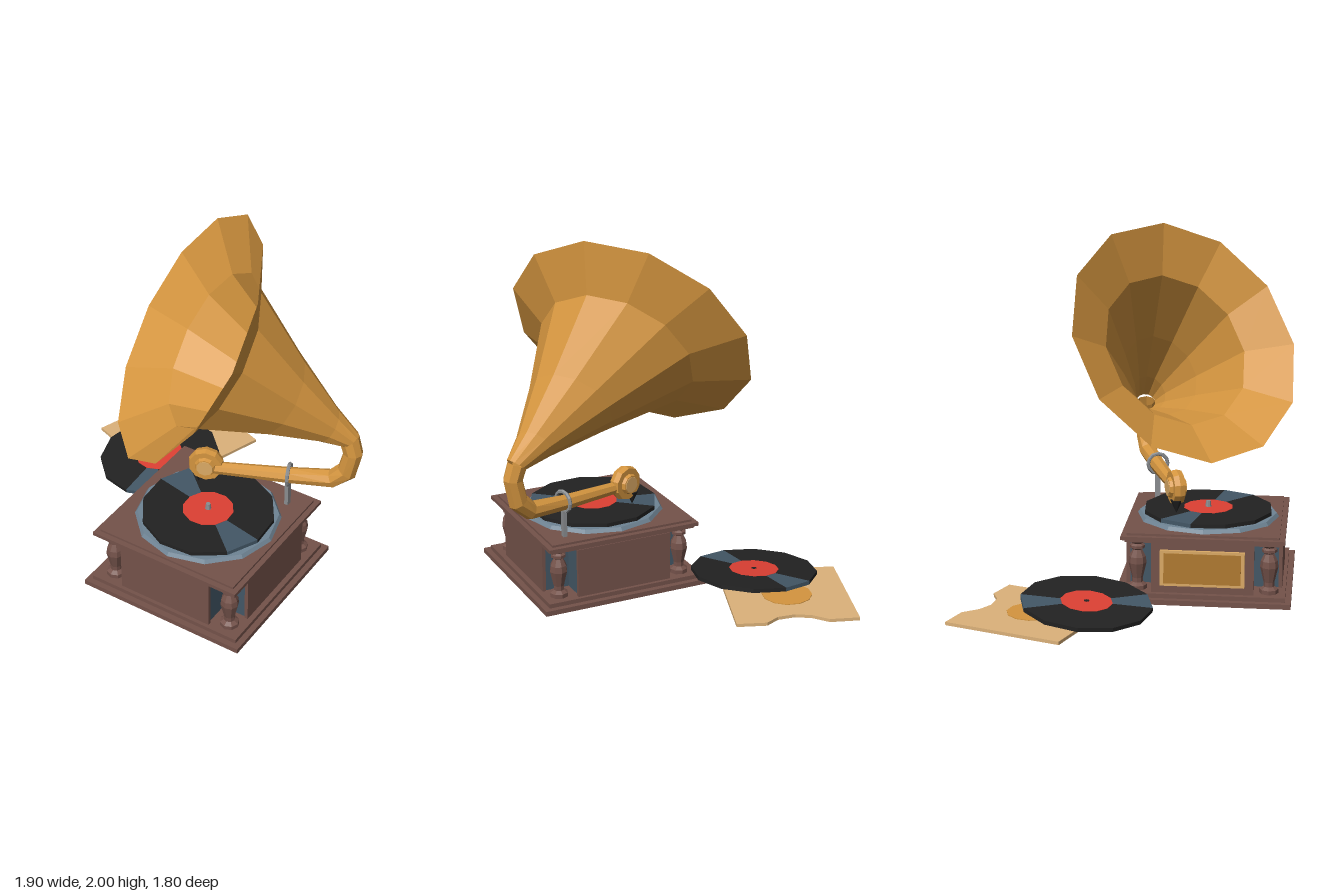
import * as THREE from 'three';

const mat = (color, side = THREE.FrontSide) =>
  new THREE.MeshStandardMaterial({ color, side, flatShading: true });
const brass = mat(0xd4953f), brassThin = mat(0xd4953f, THREE.DoubleSide), paleBrass = mat(0xdcab66);
const wood = mat(0x74524a), slate = mat(0x435766), black = mat(0x222222), red = mat(0xdd4033);
const steel = mat(0x8a8d90), platterMat = mat(0x6f8494), card = mat(0xdcb27a), amber = mat(0xb07a30);
const V = (x, y, z) => new THREE.Vector3(x, y, z);

function add(parent, name, geo, material, x = 0, y = 0, z = 0) {
  const m = new THREE.Mesh(geo, material);
  m.name = name;
  m.position.set(x, y, z);
  parent.add(m);
  return m;
}

// Skin a row of rings; each ring is { c: centre, n: normal, r: radius }
function loft(rings, sides, ref) {
  const pos = [], idx = [];
  rings.forEach(({ c, n, r }, i) => {
    const w = n.clone().normalize();
    const u = ref.clone().addScaledVector(w, -ref.dot(w)).normalize();
    const v = w.clone().cross(u);
    for (let k = 0; k < sides; k++) {
      const a = (k / sides) * Math.PI * 2;
      const p = c.clone().addScaledVector(u, r * Math.cos(a)).addScaledVector(v, r * Math.sin(a));
      pos.push(p.x, p.y, p.z);
      if (i) {
        const l = (k + 1) % sides, A = (i - 1) * sides, B = i * sides;
        idx.push(A + k, A + l, B + l, A + k, B + l, B + k);
      }
    }
  });
  const g = new THREE.BufferGeometry();
  g.setAttribute('position', new THREE.Float32BufferAttribute(pos, 3));
  g.setIndex(idx);
  g.computeVertexNormals();
  return g;
}

// Twelve-sided disc with two opposite shiny sectors, a label and a hole
function makeRecord(name, r) {
  const g = new THREE.Group();
  g.name = name;
  const step = Math.PI / 6;
  for (const s of [0, 6]) {
    add(g, 'recordSheen', new THREE.CylinderGeometry(r, r, 0.022, 1, 1, false, s * step, step), slate);
    add(g, 'recordDisc', new THREE.CylinderGeometry(r, r, 0.022, 5, 1, false, (s + 1) * step, 5 * step), black);
  }
  add(g, 'recordLabel', new THREE.CylinderGeometry(0.14, 0.14, 0.026, 12), red);
  add(g, 'recordHole', new THREE.CylinderGeometry(0.015, 0.015, 0.03, 8), black);
  return g;
}

function makeCabinet() {
  const g = new THREE.Group();
  g.name = 'cabinet';
  const slab = (name, w, d, y0, y1) =>
    add(g, name, new THREE.BoxGeometry(w, y1 - y0, d), wood, 0, (y0 + y1) / 2, 0);
  slab('plinth', 0.985, 0.965, 0, 0.028);
  slab('plinthStep', 0.92, 0.9, 0.028, 0.052);
  slab('lowerMoulding', 0.86, 0.85, 0.33, 0.346);
  slab('lid', 0.9, 0.89, 0.346, 0.366);
  slab('lidTop', 0.84, 0.83, 0.366, 0.378);
  // Cross-shaped body leaves a dark notch at each corner
  add(g, 'bodyCore', new THREE.BoxGeometry(0.84, 0.28, 0.54), slate, 0, 0.19, 0);
  add(g, 'bodyCore', new THREE.BoxGeometry(0.54, 0.28, 0.84), slate, 0, 0.19, 0);
  for (const s of [-1, 1]) {
    add(g, 'endPanel', new THREE.BoxGeometry(0.56, 0.28, 0.02), wood, 0, 0.19, s * 0.42);
    add(g, 'sidePanel', new THREE.BoxGeometry(0.02, 0.28, 0.56), wood, s * 0.42, 0.19, 0);
  }
  // Framed plate on one side
  add(g, 'plateFrame', new THREE.BoxGeometry(0.02, 0.2, 0.46), paleBrass, -0.437, 0.195, 0);
  add(g, 'plate', new THREE.BoxGeometry(0.02, 0.17, 0.42), amber, -0.44, 0.195, 0);
  // Turned corner columns
  const profile = [[0, 0.05], [0.052, 0.05], [0.052, 0.075], [0.03, 0.09], [0.03, 0.115], [0.05, 0.2],
    [0.046, 0.235], [0.026, 0.275], [0.042, 0.285], [0.042, 0.3], [0.03, 0.31], [0.052, 0.325], [0.052, 0.34]];
  const col = new THREE.LatheGeometry(profile.map(p => new THREE.Vector2(...p)), 8);
  for (const x of [-0.367, 0.367]) for (const z of [-0.36, 0.36]) add(g, 'cornerColumn', col, wood, x, 0, z);
  // Turntable
  add(g, 'platter', new THREE.CylinderGeometry(0.385, 0.4, 0.022, 12), platterMat, 0, 0.387, 0);
  const rec = makeRecord('playingRecord', 0.365);
  rec.position.y = 0.411;
  rec.rotation.y = 0.85;
  g.add(rec);
  add(g, 'spindle', new THREE.CylinderGeometry(0.013, 0.018, 0.04, 8), steel, 0, 0.437, 0);
  g.position.set(0.247, 0, 0.413);
  g.rotation.y = -0.015;
  return g;
}

function makeArm() {
  const g = new THREE.Group();
  g.name = 'toneArm';
  // Tapered pipe bending up into the horn
  const path = [V(0.16, 0.55, 0.235), V(0.56, 0.575, 0.1), V(0.79, 0.6, 0.025),
    V(0.865, 0.67, 0.005), V(0.893, 0.8, 0), V(0.865, 0.885, 0)];
  const radii = [0.034, 0.044, 0.052, 0.056, 0.054, 0.056];
  const rings = path.map((c, i) => {
    const a = path[Math.max(i - 1, 0)], b = path[Math.min(i + 1, path.length - 1)];
    return { c, n: b.clone().sub(c).normalize().add(c.clone().sub(a).normalize()), r: radii[i] };
  });
  add(g, 'pipe', loft(rings, 8, V(0, 0, 1)), brassThin);
  // Sound box facing across the arm
  const box = new THREE.Group();
  box.name = 'soundBox';
  const prof = [[0, -0.048], [0.052, -0.048], [0.06, -0.03], [0.092, -0.03], [0.1, 0], [0.092, 0.03],
    [0.06, 0.03], [0.052, 0.048], [0, 0.048]].map(p => new THREE.Vector2(...p));
  add(box, 'soundBoxBody', new THREE.LatheGeometry(prof, 10), brass).rotation.x = Math.PI / 2;
  add(box, 'diaphragm', new THREE.CylinderGeometry(0.046, 0.046, 0.104, 10), paleBrass).rotation.x = Math.PI / 2;
  box.position.set(0.125, 0.565, 0.238);
  box.rotation.y = 0.36;
  g.add(box);
  add(g, 'needle', new THREE.ConeGeometry(0.035, 0.075, 6), black, 0.08, 0.465, 0.245).rotation.x = Math.PI;
  // Ring and post carrying the arm
  const ring = add(g, 'supportRing', new THREE.TorusGeometry(0.058, 0.011, 6, 12), steel, 0.565, 0.582, 0.1);
  ring.rotation.y = Math.PI / 2 + 0.32;
  add(g, 'supportPost', new THREE.BoxGeometry(0.022, 0.16, 0.032), steel, 0.562, 0.45, 0.1);
  return g;
}

function makeHorn() {
  // Flaring bell, all rings parallel to the mouth
  const n = V(-0.655, 0.53, 0.54);
  const rings = [
    { c: V(0.872, 0.88, 0), r: 0.056 },
    { c: V(0.75, 0.96, 0.035), r: 0.105 },
    { c: V(0.5, 1.12, 0.12), r: 0.24 },
    { c: V(0.17, 1.335, 0.235), r: 0.445 },
    { c: V(0.05, 1.408, 0.3), r: 0.705 },
  ].map(s => ({ ...s, n }));
  rings[0].n = V(-0.6, 0.75, 0.2);
  const m = new THREE.Mesh(loft(rings, 12, V(0.35, 0.593, -0.158)), brassThin);
  m.name = 'horn';
  return m;
}

function makeSleeve() {
  const g = new THREE.Group();
  g.name = 'recordSleeve';
  // Square card with a wavy bite in one edge
  const pts = [[-0.95, -0.27], [-0.72, -0.9], [-0.565, -0.845], [-0.505, -0.76], [-0.43, -0.71],
    [-0.33, -0.695], [-0.245, -0.73], [-0.09, -0.67], [-0.32, -0.04]];
  const shape = new THREE.Shape(pts.map(([x, z]) => new THREE.Vector2(x, -z)));
  const sheet = add(g, 'card', new THREE.ExtrudeGeometry(shape, { depth: 0.018, bevelEnabled: false }), card, 0, 0.018, 0);
  sheet.rotation.x = -Math.PI / 2;
  add(g, 'cardDisc', new THREE.CylinderGeometry(0.14, 0.14, 0.006, 12), brass, -0.52, 0.037, -0.47);
  return g;
}

export function createModel() {
  const model = new THREE.Group();
  model.name = 'gramophone';
  model.add(makeCabinet(), makeArm(), makeHorn(), makeSleeve());
  // Loose record leaning on the sleeve
  const loose = makeRecord('looseRecord', 0.355);
  loose.position.set(-0.47, 0.078, -0.19);
  loose.rotation.set(0.075, 0, 0.065);
  model.add(loose);
  return model;
}
